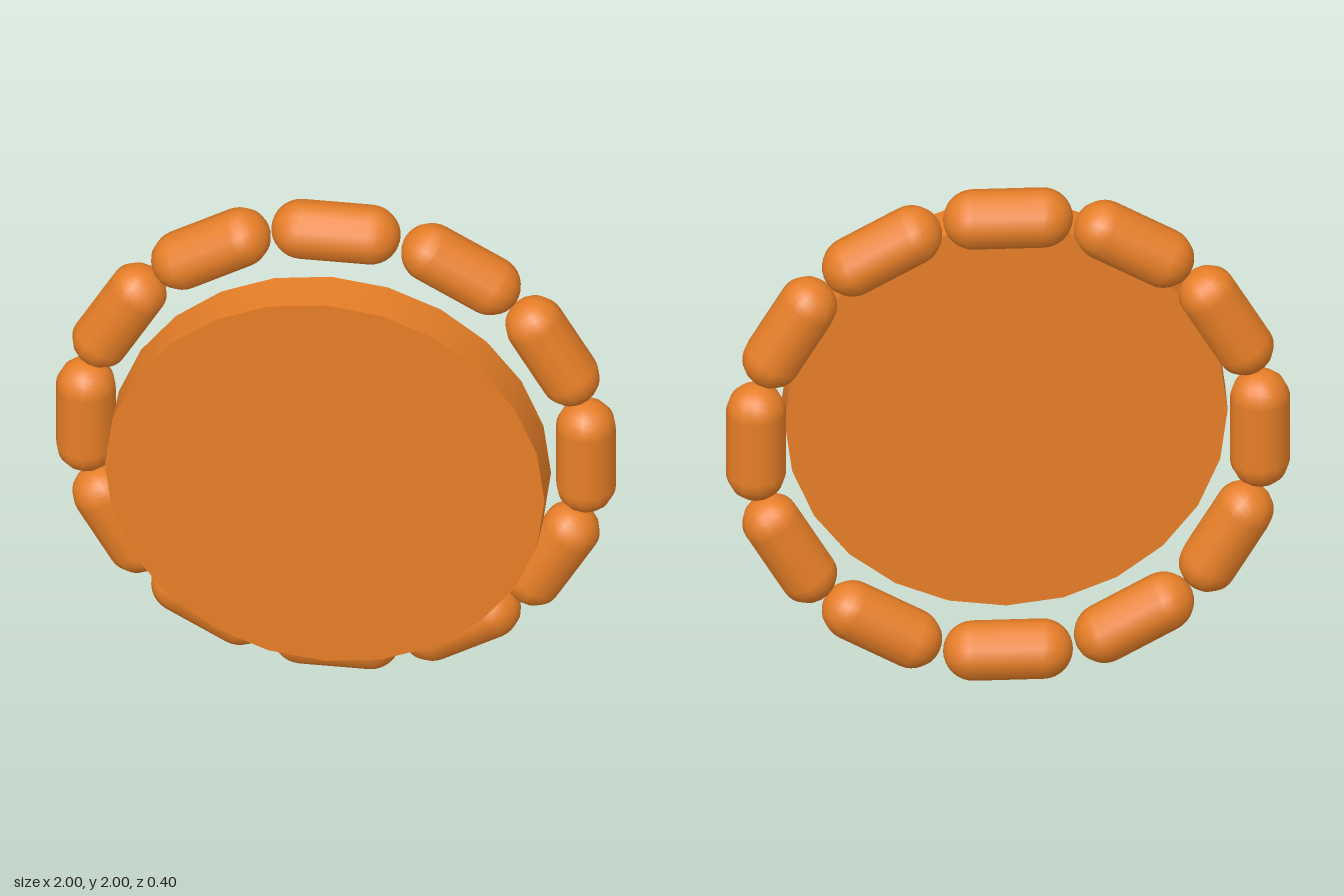
import * as THREE from 'three';

export function createModel() {
  const group = new THREE.Group();
  const material = new THREE.MeshStandardMaterial({ color: 0xe67e27 });

  // Flat round disc, axis along z
  const discGeometry = new THREE.CylinderGeometry(0.785, 0.785, 0.17, 24);
  discGeometry.rotateX(Math.PI / 2);
  const disc = new THREE.Mesh(discGeometry, material);
  disc.name = 'disc';
  disc.position.set(0, 1, 0.115);
  group.add(disc);

  // Ring of twelve capsules lying along the tangent behind the disc
  const ring = new THREE.Group();
  ring.name = 'capsuleRing';
  ring.position.set(0, 1, -0.093);
  const count = 12, radius = 0.107, ringRadius = 1 - radius;
  const capsuleGeometry = new THREE.CapsuleGeometry(radius, 0.246, 8, 12);
  for (let i = 0; i < count; i++) {
    const angle = (i / count) * Math.PI * 2;
    const capsule = new THREE.Mesh(capsuleGeometry, material);
    capsule.name = `capsule${i + 1}`;
    capsule.position.set(Math.cos(angle) * ringRadius, Math.sin(angle) * ringRadius, 0);
    capsule.rotation.z = angle;
    ring.add(capsule);
  }
  group.add(ring);

  return group;
}
